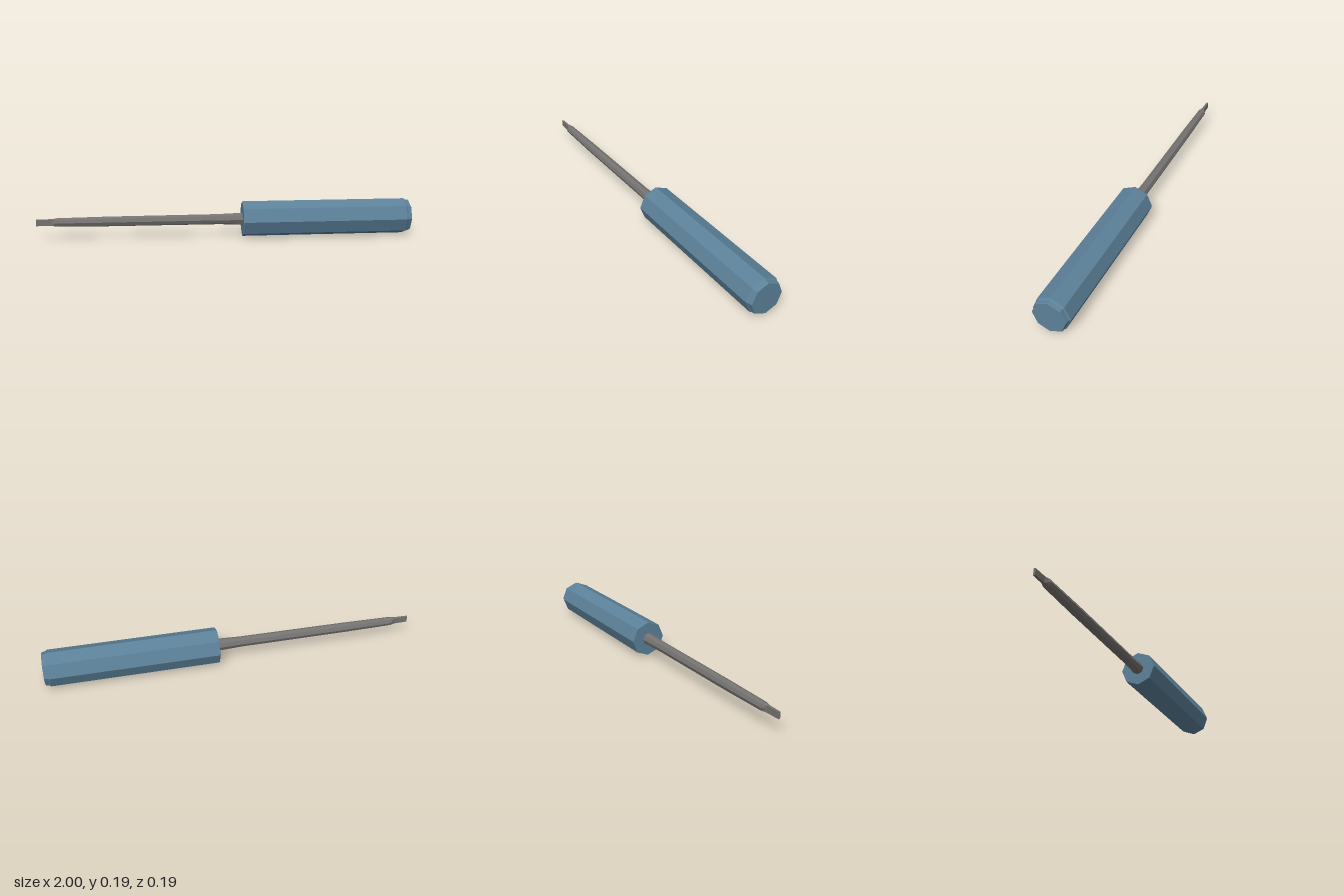
import * as THREE from 'three';

const AXIS_Y = 0.096;

// Eight-sided turned part along x, from [x, radius] pairs ordered left to right
function turned(profile) {
  const points = profile.map(([x, r]) => new THREE.Vector2(r, x));
  const geometry = new THREE.LatheGeometry(points, 8);
  geometry.rotateZ(-Math.PI / 2);
  return geometry;
}

function addPart(group, name, geometry, material) {
  const flat = geometry.toNonIndexed();
  flat.computeVertexNormals();
  const mesh = new THREE.Mesh(flat, material);
  mesh.name = name;
  mesh.position.y = AXIS_Y;
  group.add(mesh);
}

export function createModel() {
  const group = new THREE.Group();
  group.name = 'screwdriver';

  const handleBlue = new THREE.MeshStandardMaterial({ color: 0x5c8199, flatShading: true });
  handleBlue.name = 'handle blue';
  const steelGrey = new THREE.MeshStandardMaterial({ color: 0x757371, flatShading: true });
  steelGrey.name = 'steel grey';

  // Octagonal grip with a chamfered butt
  addPart(group, 'handle', turned([
    [0.09, 0], [0.09, 0.094], [0.093, 0.096], [0.972, 0.096],
    [0.98, 0.09], [0.997, 0.087], [1, 0.085], [1, 0],
  ]), handleBlue);

  // Slim shaft, slightly thicker towards the collar at the handle
  addPart(group, 'shaft', turned([
    [-0.9, 0], [-0.9, 0.023], [-0.63, 0.0265], [-0.04, 0.028], [0.1, 0.033], [0.1, 0],
  ]), steelGrey);

  // Flat blade: the octagon is squeezed to a rectangle towards the tip
  const blade = turned([[-1, 0], [-1, 0.024], [-0.925, 0.024], [-0.895, 0.023], [-0.895, 0]]);
  const p = blade.attributes.position;
  for (let i = 0; i < p.count; i++) {
    const x = p.getX(i);
    if (x > -0.91) continue;
    const halfZ = x < -0.95 ? 0.005 : 0.007;
    p.setY(i, THREE.MathUtils.clamp(p.getY(i), -0.017, 0.017));
    p.setZ(i, THREE.MathUtils.clamp(p.getZ(i), -halfZ, halfZ));
  }
  addPart(group, 'blade', blade, steelGrey);

  return group;
}
